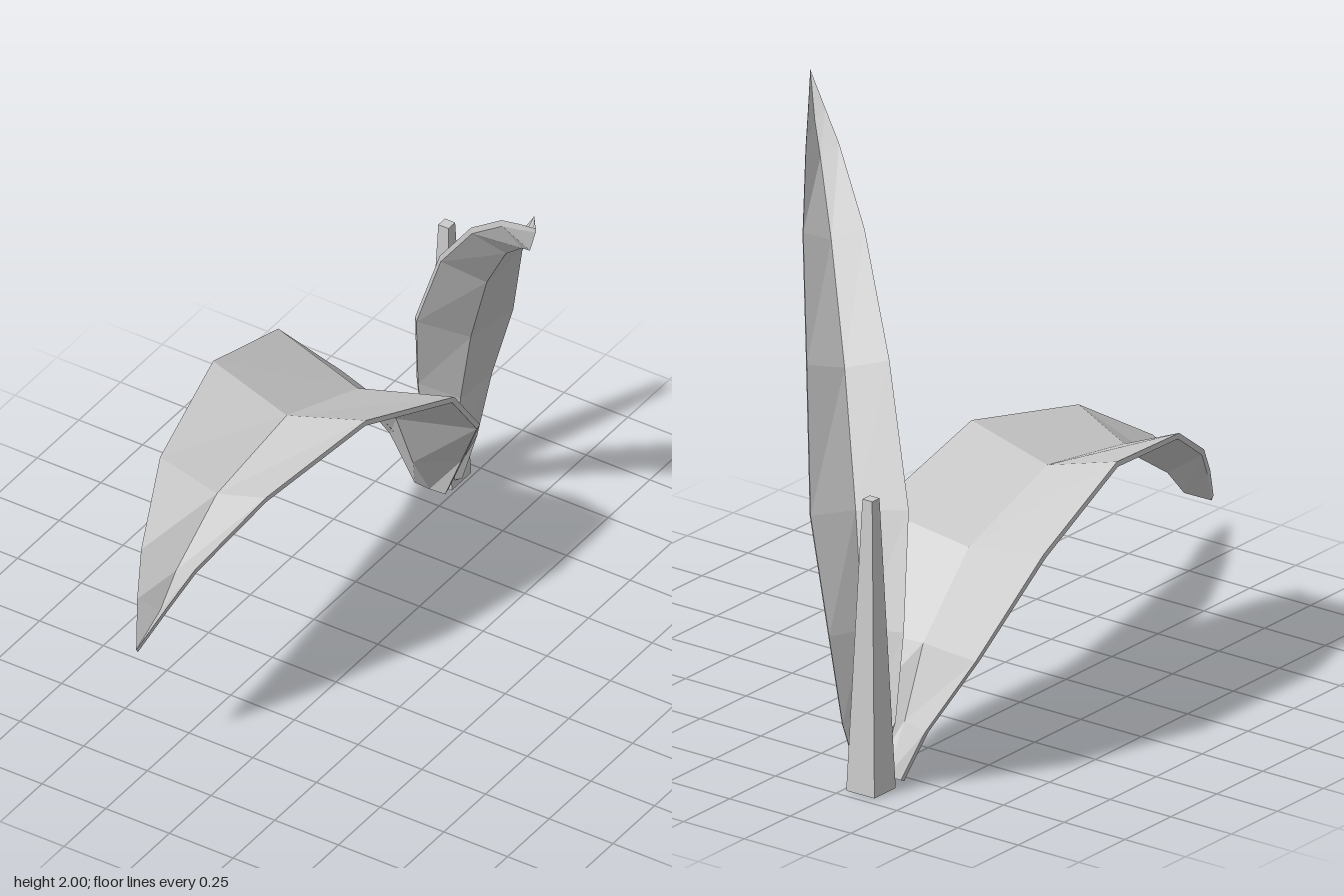
import * as THREE from 'three';

const leafGrey = new THREE.MeshStandardMaterial({ color: 0xcccccc });
leafGrey.name = 'leafGrey';

const THICKNESS = 0.02;

// Stations along a leaf: [edge reach, edge height, rib reach, rib height, half width].
// Edges are on the upper skin, the rib is the fold line of the lower skin.
const droopingStations = [
  [-0.82, 0.02, -0.80, 0.01, 0.06],
  [-0.795, 0.2, -0.70, 0.18, 0.14],
  [-0.69, 0.45, -0.60, 0.42, 0.27],
  [-0.42, 0.76, -0.36, 0.67, 0.345],
  [0.04, 0.93, 0.06, 0.82, 0.30],
  [0.50, 0.86, 0.47, 0.76, 0.207],
  [0.77, 0.69, 0.71, 0.60, 0.105],
  [0.87, 0.57, 0.80, 0.50, 0.055],
  [0.96, 0.44, 0.95, 0.425, 0],
];
const uprightStations = [
  [-0.01, 0.04, 0.01, 0.03, 0.04],
  [0.0, 0.21, 0.09, 0.2, 0.088],
  [0.06, 0.50, 0.165, 0.48, 0.124],
  [0.212, 0.87, 0.32, 0.84, 0.163],
  [0.469, 1.30, 0.565, 1.24, 0.137],
  [0.788, 1.64, 0.86, 1.57, 0.102],
  [1.04, 1.845, 1.10, 1.765, 0.055],
  [1.17, 1.92, 1.225, 1.845, 0.028],
  [1.315, 2.0, 1.315, 1.985, 0],
];

// A folded leaf: a V-shaped ring of six points swept through the stations
function leafGeometry(stations) {
  const positions = [];
  for (const [es, ey, rs, ry, w] of stations) {
    const len = Math.hypot(es - rs, ey - ry);
    const t = Math.min(THICKNESS, len);
    const ns = (es - rs) / len * t, ny = (ey - ry) / len * t;
    positions.push(
      w, ey, es, 0, ry + ny, rs + ns, -w, ey, es,
      -w, ey - ny, es - ns, 0, ry, rs, w, ey - ny, es - ns
    );
  }
  const index = [];
  const quad = (a, b, c, d) => index.push(a, b, c, a, c, d);
  for (let i = 0; i < stations.length - 1; i++) {
    for (let j = 0; j < 6; j++) {
      const k = (j + 1) % 6;
      quad(i * 6 + j, i * 6 + k, i * 6 + 6 + k, i * 6 + 6 + j);
    }
  }
  // base cap
  quad(5, 4, 1, 0);
  quad(4, 3, 2, 1);
  const indexed = new THREE.BufferGeometry();
  indexed.setAttribute('position', new THREE.Float32BufferAttribute(positions, 3));
  indexed.setIndex(index);
  const faceted = indexed.toNonIndexed();
  faceted.computeVertexNormals();
  return faceted;
}

function addPart(group, name, geometry, x, y, z, turn) {
  const mesh = new THREE.Mesh(geometry, leafGrey);
  mesh.name = name;
  mesh.position.set(x, y, z);
  mesh.rotation.y = turn;
  group.add(mesh);
}

export function createModel() {
  const plant = new THREE.Group();
  plant.name = 'plant';

  addPart(plant, 'droopingLeaf', leafGeometry(droopingStations), -0.32, 0, 0, 0);
  addPart(plant, 'uprightLeaf', leafGeometry(uprightStations), -0.28, 0, -0.86, 0.796);

  // square tapered stem
  const stem = new THREE.CylinderGeometry(0.02 * Math.SQRT2, 0.058 * Math.SQRT2, 1.03, 4).toNonIndexed();
  stem.computeVertexNormals();
  addPart(plant, 'stem', stem, -0.32, 0.515, -0.903, Math.PI / 4);

  return plant;
}
